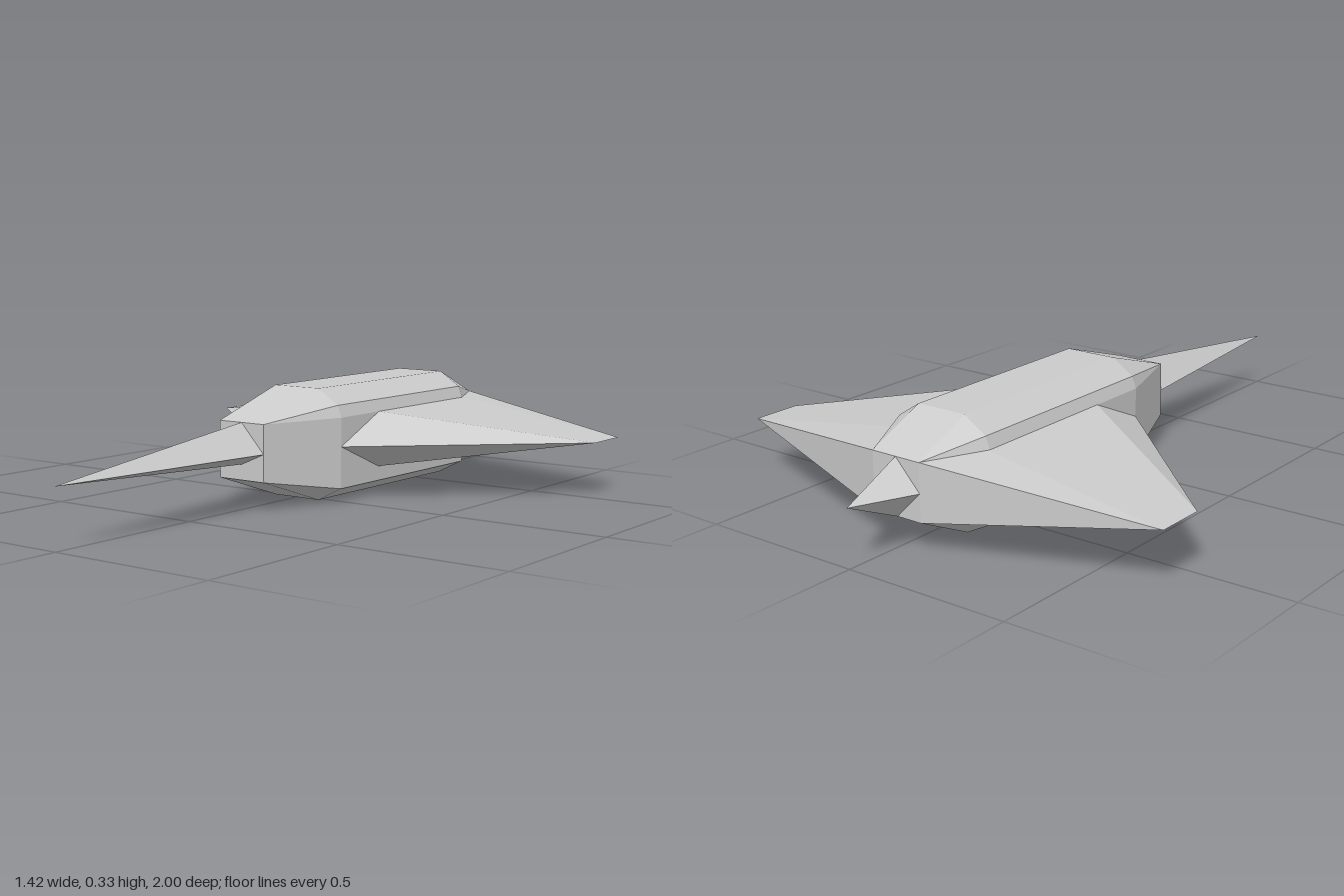
import * as THREE from 'three';
import { ConvexGeometry } from 'three/addons/geometries/ConvexGeometry.js';

const MID = 0.165, LOW = 0.085, HIGH = 0.25;

export function createModel() {
  const group = new THREE.Group();
  const material = new THREE.MeshStandardMaterial({ color: 0xcccccc, flatShading: true });

  // Faceted solid spanning a few corner points
  const addSolid = (name, points) => {
    const corners = points.map(p => new THREE.Vector3(...p));
    const mesh = new THREE.Mesh(new ConvexGeometry(corners), material);
    mesh.name = name;
    group.add(mesh);
  };
  const mirrored = half => half.flatMap(([x, y, z]) => [[x, y, z], [-x, y, z]]);

  // Fuselage: bevelled mid section narrowing to a small box at each end
  const section = [[0.08, 0.33], [0.15, 0.285], [0.163, HIGH], [0.163, LOW], [0.163, 0.042], [0.08, 0]];
  const endSection = [[0.08, HIGH], [0.08, LOW]];
  const at = (profile, z) => profile.map(([x, y]) => [x, y, z]);
  addSolid('fuselage', mirrored([
    ...at(endSection, 0.275), ...at(section, 0.02),
    ...at(section, -0.64), ...at(endSection, -0.82),
  ]));

  // Pointed nose and tail with a ridge on top
  const addSpike = (name, baseZ, tipZ, bottom) => addSolid(name, [
    [0, HIGH, baseZ], [0.08, MID, baseZ], [-0.08, MID, baseZ], [0, bottom, baseZ], [0, MID, tipZ],
  ]);
  addSpike('noseSpike', 0.275, 1, 0.13);
  addSpike('tailCone', -0.82, -1, LOW);

  // Wings: thick at the root, thinning to a sharp tip edge
  for (const [name, s] of [['leftWing', 1], ['rightWing', -1]]) {
    addSolid(name, [
      [0.163, MID, 0.02],
      [0.163, HIGH, -0.17], [0.163, LOW, -0.17],
      [0.163, HIGH, -0.645], [0.163, LOW, -0.645],
      [0.08, HIGH, -0.82], [0.08, LOW, -0.82],
      [0.71, MID, -0.5], [0.71, MID, -0.65],
    ].map(([x, y, z]) => [s * x, y, z]));
  }
  return group;
}
